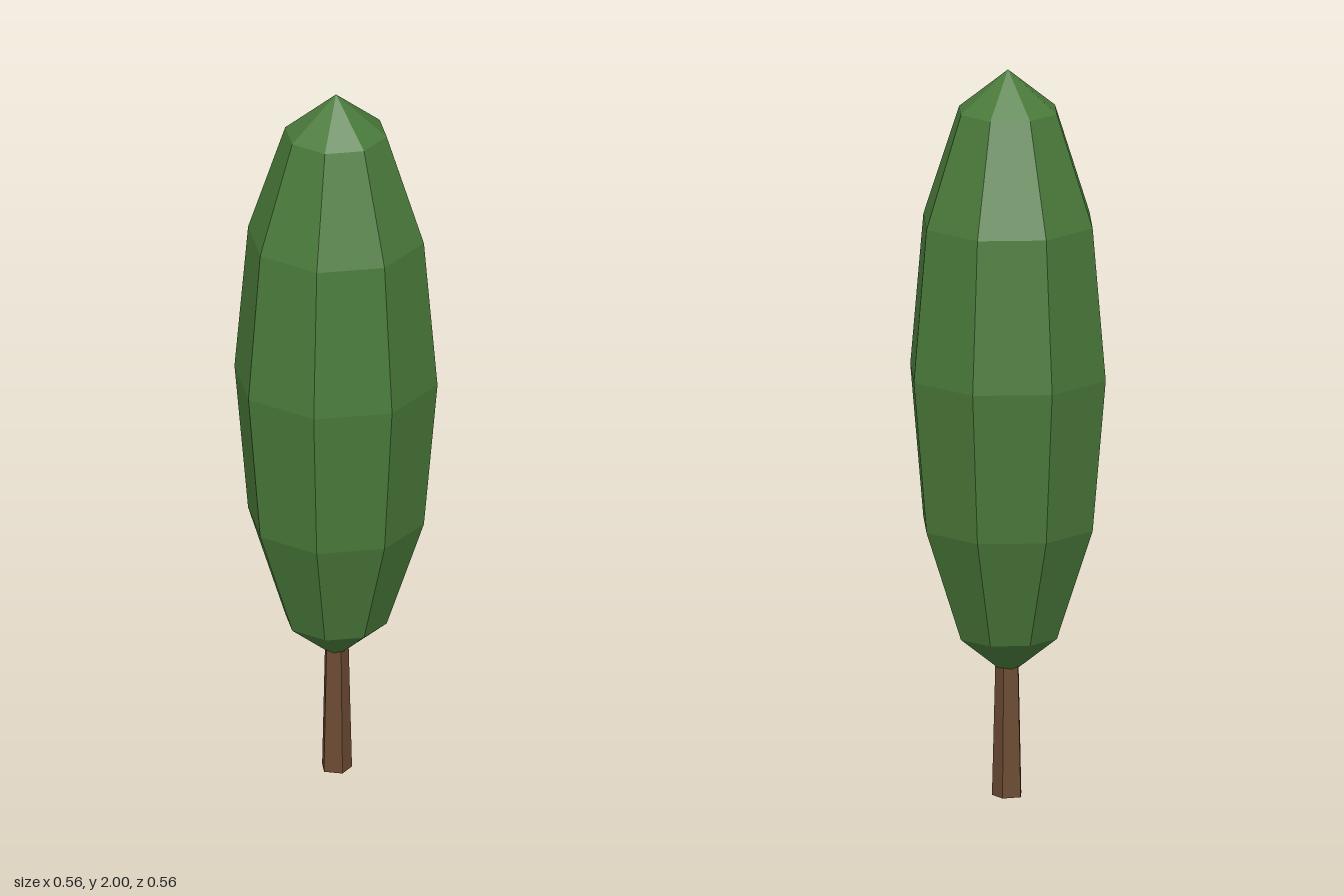
import * as THREE from 'three';

const part = (name, geometry, color, y) => {
  const material = new THREE.MeshStandardMaterial({ color, flatShading: true });
  const mesh = new THREE.Mesh(geometry, material);
  mesh.name = name;
  mesh.position.y = y;
  return mesh;
};

export function createModel() {
  const tree = new THREE.Group();
  tree.name = 'columnarTree';

  // Tapered five-sided trunk, its top hidden inside the crown
  const trunkHeight = 0.4;
  const trunkGeometry = new THREE.CylinderGeometry(0.033, 0.043, trunkHeight, 5);
  trunkGeometry.rotateY(Math.PI);
  tree.add(part('trunk', trunkGeometry, 0x6b4a32, trunkHeight / 2));

  // Crown: a coarse sphere stretched into a tall ellipsoid
  const crownGeometry = new THREE.SphereGeometry(1, 8, 6);
  crownGeometry.scale(0.278, 0.835, 0.278);
  tree.add(part('crown', crownGeometry, 0x4a7a3a, 1.165));

  return tree;
}
